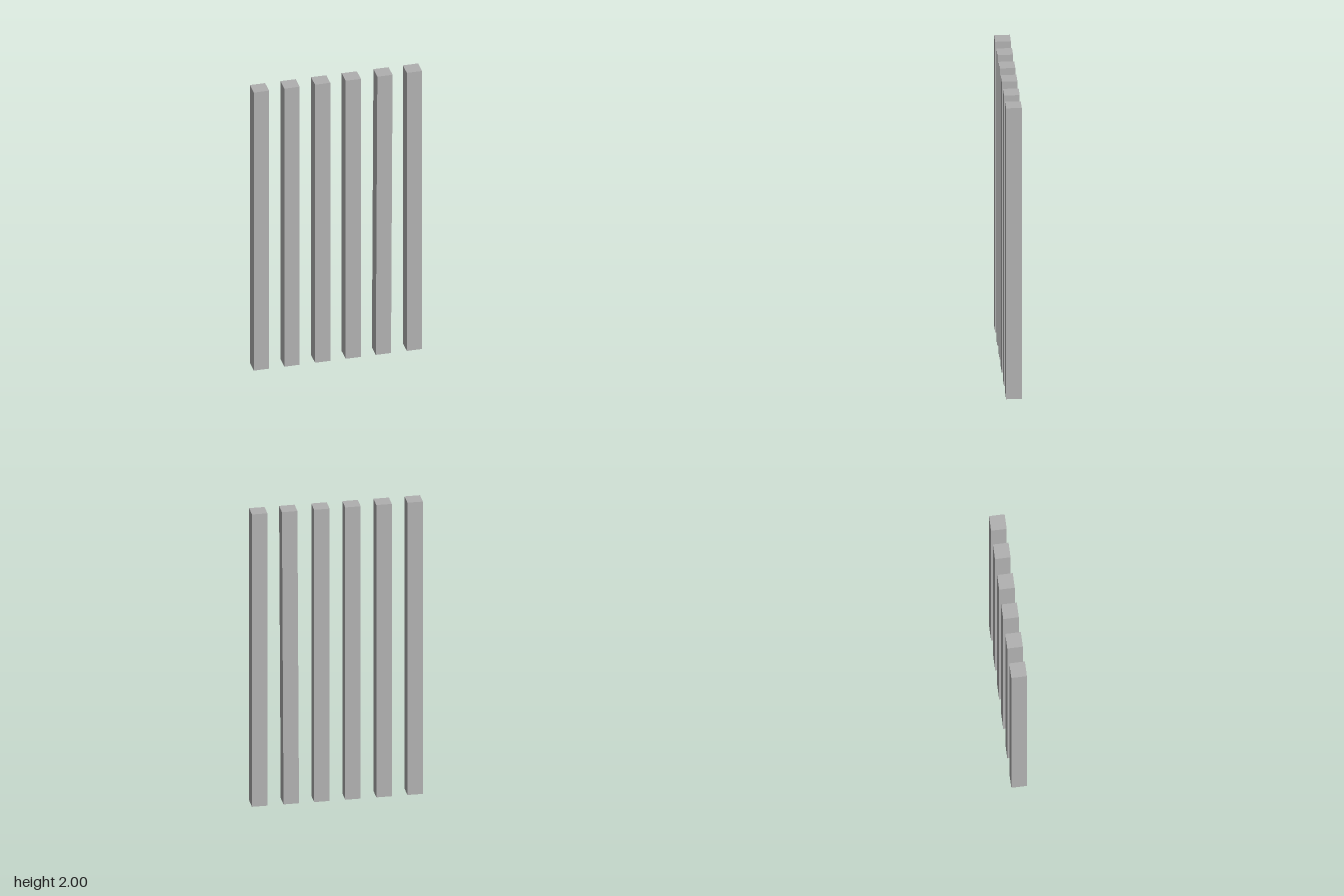
import * as THREE from 'three';

export function createModel() {
  const group = new THREE.Group();
  group.name = 'barRow';
  const grey = new THREE.MeshStandardMaterial({ color: 0xb0b0b0 });
  grey.name = 'grey';

  const count = 6, spacing = 0.197, width = 0.098, height = 2;
  const leaningBar = 4; // the second bar from the model's left leans slightly
  const geometry = new THREE.BoxGeometry(width, height, width);

  // Evenly spaced upright square bars
  for (let i = 0; i < count; i++) {
    const bar = new THREE.Mesh(geometry, grey);
    bar.name = i === leaningBar ? 'leaningBar' : `bar${i + 1}`;
    bar.position.set((i - (count - 1) / 2) * spacing, height / 2, 0);
    if (i === leaningBar) {
      bar.position.x += 0.002;
      bar.rotation.z = -0.005;
    }
    group.add(bar);
  }
  return group;
}
